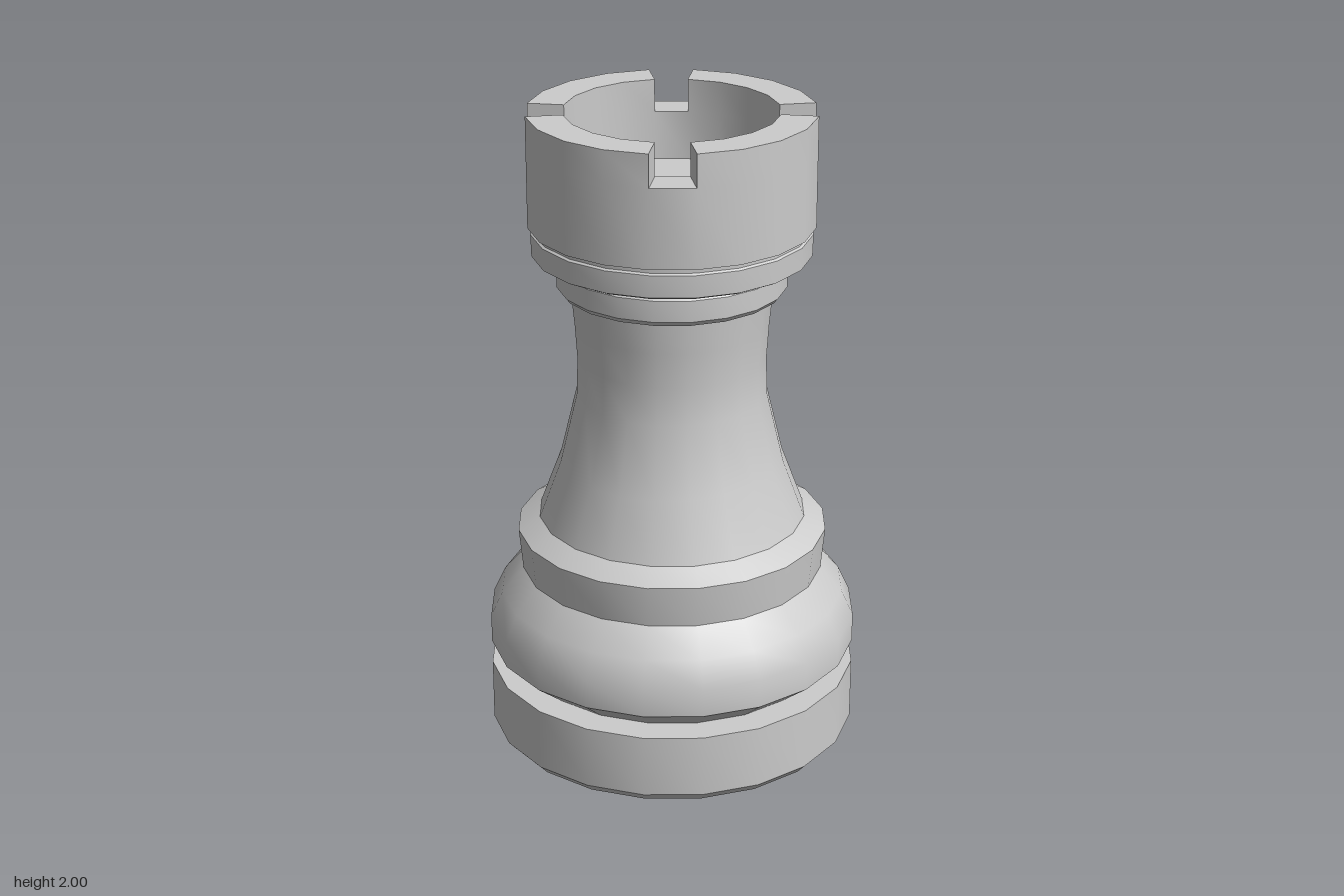
import * as THREE from 'three';
import { mergeGeometries, toCreasedNormals } from 'three/addons/utils/BufferGeometryUtils.js';

const SIDES = 20;
const STEP = (Math.PI * 2) / SIDES;
const CREASE = THREE.MathUtils.degToRad(35);
const material = new THREE.MeshStandardMaterial({ color: 0xcccccc });

// Revolve [radius, y] points, listed from the underside up and over
function lathe(points, sides = SIDES, start = 0) {
  const profile = points.map(([r, y]) => new THREE.Vector2(r, y));
  return new THREE.LatheGeometry(profile, sides, start, sides * STEP);
}

function part(name, geometry) {
  const mesh = new THREE.Mesh(toCreasedNormals(geometry, CREASE), material);
  mesh.name = name;
  return mesh;
}

// Head with four battlements: per quarter, four tall segments and one notch
function headGeometry() {
  const outer = 0.43, inner = 0.32, bottom = 1.66, floor = 1.75, ledge = 1.9, top = 2;
  const below = [[0.415, bottom], [outer, bottom], [outer, ledge]];
  const above = [[inner, ledge], [inner, floor], [0, floor]];
  const tall = [...below, [outer, top], [inner, top], ...above];
  const low = [...below, ...above];
  const pieces = [];

  // End wall of a battlement
  const endWall = (phi, flip) => {
    const wall = new THREE.PlaneGeometry(outer - inner, top - ledge);
    if (flip) wall.rotateY(Math.PI);
    wall.translate((outer + inner) / 2, (top + ledge) / 2, 0);
    return wall.rotateY(phi - Math.PI / 2);
  };

  for (let i = 0; i < 4; i++) {
    const phi = (i * Math.PI) / 2;
    pieces.push(
      lathe(tall, 4, phi),
      lathe(low, 1, phi + 4 * STEP),
      endWall(phi, false),
      endWall(phi + 4 * STEP, true),
    );
  }
  return mergeGeometries(pieces);
}

export function createModel() {
  const group = new THREE.Group();
  group.name = 'chessRook';

  // Turned parts from the floor upwards
  const parts = {
    base: [[0, 0], [0.545, 0], [0.572, 0.03], [0.572, 0.226], [0.48, 0.226]],
    bulge: [[0.48, 0.226], [0.572, 0.3], [0.572, 0.39], [0.535, 0.47], [0.467, 0.55]],
    foot: [[0.467, 0.55], [0.479, 0.68], [0.412, 0.72]],
    shaft: [[0.412, 0.72], [0.345, 0.9], [0.292, 1.12], [0.288, 1.24], [0.295, 1.35], [0.305, 1.455]],
    collar: [[0.305, 1.455], [0.335, 1.455], [0.347, 1.47], [0.347, 1.535], [0.325, 1.555], [0.32, 1.562]],
    headRing: [[0.32, 1.562], [0.4, 1.562], [0.42, 1.572], [0.422, 1.64], [0.415, 1.645], [0.415, 1.66]],
  };
  for (const [name, points] of Object.entries(parts)) group.add(part(name, lathe(points)));

  group.add(part('battlementHead', headGeometry()));
  return group;
}
